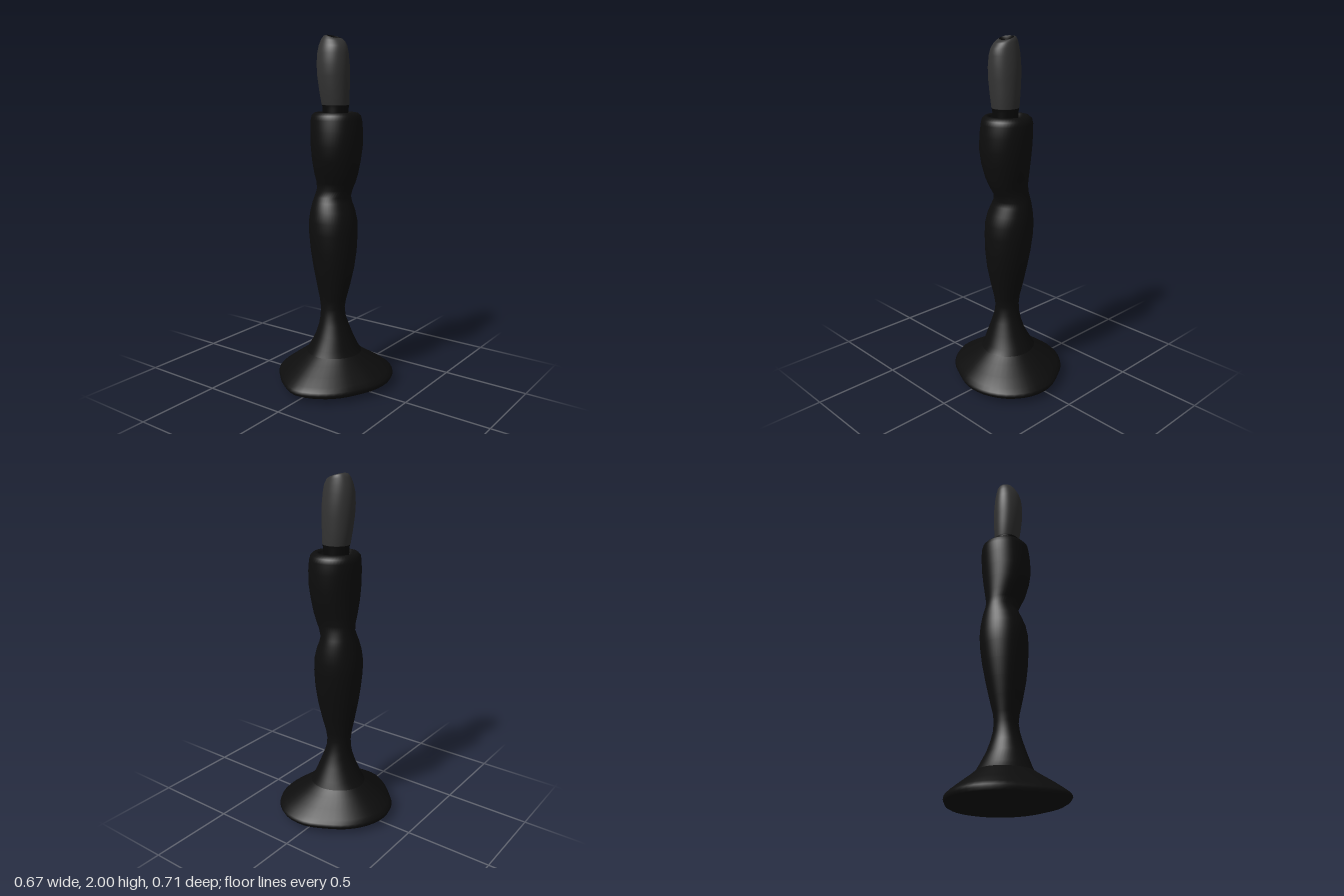
import * as THREE from 'three';

const SIDES = 48;

// Outline of the foot: radii at equal angles, turning from +x towards +z
const FOOT = [.327, .307, .318, .338, .357, .327, .31, .325, .333, .329, .325, .326, .354, .37, .365, .348];
const footCurve = new THREE.CatmullRomCurve3(FOOT.map((r, i) => {
  const a = i / FOOT.length * Math.PI * 2;
  return new THREE.Vector3(r * Math.cos(a) / .332, 0, r * Math.sin(a) / .36);
}), true);

// Skin over rows of [y, xMin, xMax, zMin, zMax, footShape = 0, tilt = 0]
function loft(rows) {
  const pos = [], index = [];
  rows.forEach(([y, x0, x1, z0, z1, foot = 0, tilt = 0], j) => {
    for (let i = 0; i < SIDES; i++) {
      const a = i / SIDES * Math.PI * 2;
      const p = new THREE.Vector3(Math.cos(a), 0, Math.sin(a)).lerp(footCurve.getPoint(i / SIDES), foot);
      const x = (x0 + x1) / 2 + p.x * (x1 - x0) / 2;
      pos.push(x, y - tilt * x, (z0 + z1) / 2 + p.z * (z1 - z0) / 2);
      if (j === 0) continue;
      const n = (i + 1) % SIDES, lo = (j - 1) * SIDES, hi = j * SIDES;
      index.push(lo + i, hi + i, lo + n, hi + i, hi + n, lo + n);
    }
  });
  const g = new THREE.BufferGeometry();
  g.setAttribute('position', new THREE.Float32BufferAttribute(pos, 3));
  g.setIndex(index);
  g.computeVertexNormals();
  return g;
}

export function createModel() {
  const group = new THREE.Group();
  const material = (name, color) => {
    const m = new THREE.MeshStandardMaterial({ color });
    m.name = name;
    return m;
  };
  const ebony = material('ebony', 0x0d0d0d);
  const wax = material('charcoal wax', 0x333333);
  const soot = material('soot', 0x080808);
  const add = (name, mat, rows) => {
    const mesh = new THREE.Mesh(loft(rows), mat);
    mesh.name = name;
    group.add(mesh);
  };

  // Spreading foot with a nearly flat underside
  add('foot', ebony, [
    [.004, 0, 0, 0, 0, 1],
    [0, -.18, .18, -.19, .19, 1],
    [.012, -.26, .26, -.28, .28, 1],
    [.022, -.305, .305, -.325, .325, 1],
    [.035, -.327, .325, -.35, .35, 1],
    [.05, -.334, .332, -.358, .36, 1],
    [.065, -.33, .327, -.352, .35, 1],
    [.085, -.312, .308, -.325, .322, 1],
    [.12, -.265, .262, -.275, .27, .9],
    [.16, -.21, .207, -.212, .205, .7],
    [.195, -.162, .163, -.166, .152, .4]
  ]);

  // Stem with two off-centre swellings
  add('stem', ebony, [
    [.195, -.162, .163, -.166, .152, .4],
    [.23, -.135, .142, -.148, .135, .2],
    [.3, -.097, .116, -.112, .106],
    [.36, -.077, .093, -.089, .086],
    [.41, -.069, .077, -.073, .073],
    [.46, -.069, .073, -.066, .066],
    [.51, -.076, .082, -.07, .07],
    [.6, -.095, .105, -.093, .088],
    [.7, -.115, .126, -.115, .106],
    [.8, -.131, .137, -.134, .119],
    [.9, -.142, .139, -.146, .126],
    [.97, -.143, .135, -.149, .125],
    [1.03, -.135, .118, -.144, .115],
    [1.08, -.125, .096, -.134, .096],
    [1.11, -.117, .088, -.127, .082],
    [1.15, -.109, .102, -.117, .066],
    [1.19, -.108, .124, -.117, .076],
    [1.24, -.112, .142, -.128, .1],
    [1.32, -.118, .158, -.143, .125],
    [1.4, -.123, .168, -.154, .136],
    [1.48, -.127, .167, -.157, .133],
    [1.54, -.127, .16, -.155, .127],
    [1.565, -.122, .153, -.148, .122],
    [1.58, -.108, .138, -.13, .108],
    [1.583, -.094, .122, -.112, .098],
    [1.572, -.085, .112, -.102, .09],
    [1.545, -.078, .104, -.094, .084],
    [1.54, .015, .015, 0, 0]
  ]);

  // Dark collar at the base of the candle
  add('collar', soot, [
    [1.535, -.052, .088, -.07, .065],
    [1.6, -.054, .09, -.073, .066],
    [1.622, -.058, .094, -.075, .068]
  ]);

  // Bulging candle with a slightly tilted rim
  add('candle', wax, [
    [1.62, -.056, .092, -.073, .066],
    [1.625, -.061, .096, -.076, .07],
    [1.7, -.071, .1, -.078, .083],
    [1.78, -.079, .104, -.078, .094],
    [1.84, -.082, .104, -.075, .095],
    [1.9, -.08, .099, -.068, .089],
    [1.94, -.072, .091, -.061, .078, 0, .05],
    [1.97, -.06, .075, -.055, .063, 0, .12],
    [1.985, -.047, .058, -.05, .052, 0, .22],
    [1.99, -.027, .04, -.044, .045, 0, .3]
  ]);

  // Burnt hollow in the tip
  add('burntTip', soot, [
    [1.99, -.027, .04, -.044, .045, 0, .3],
    [1.98, -.018, .03, -.03, .03, 0, .3],
    [1.972, .006, .006, 0, 0]
  ]);

  return group;
}
